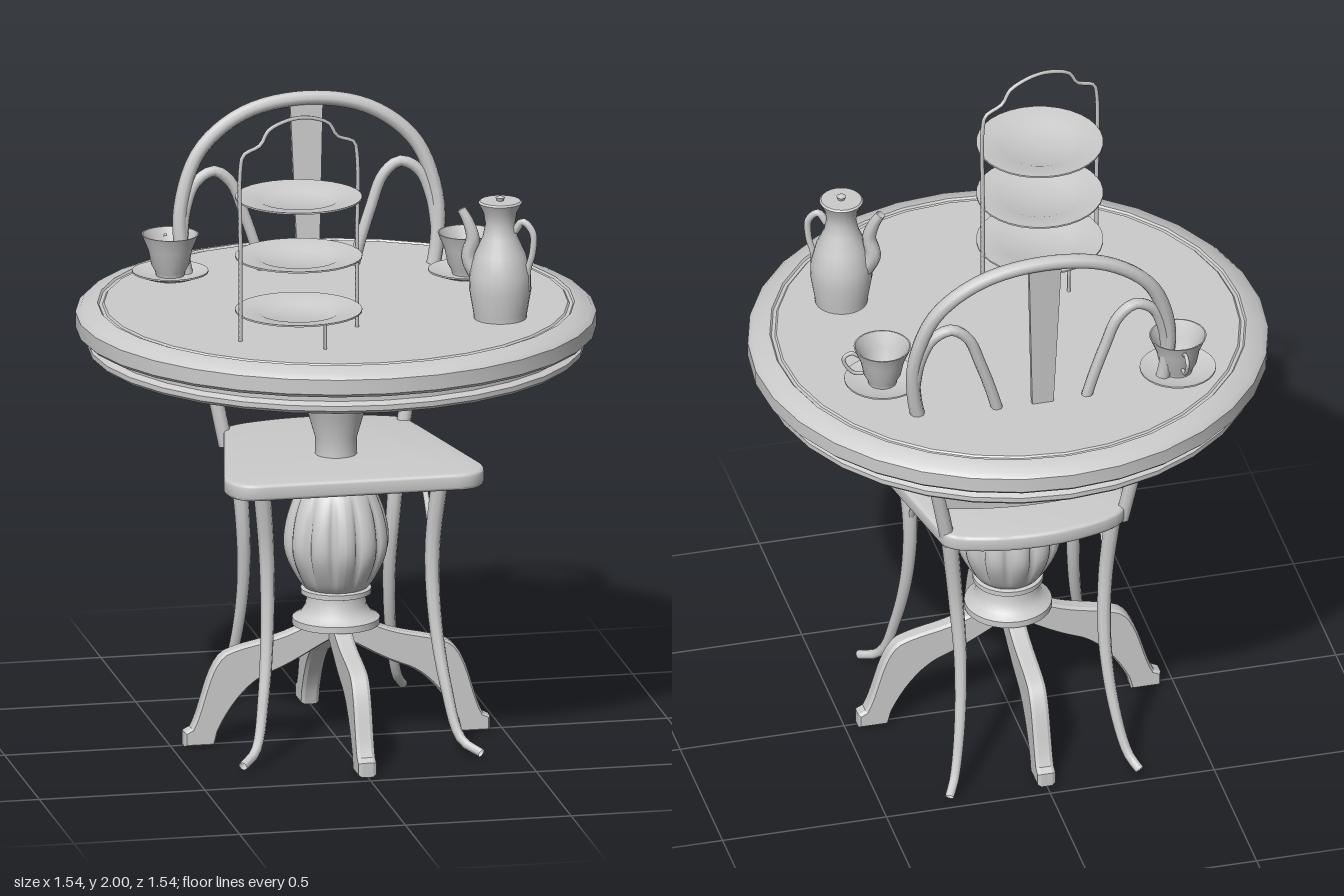
import * as THREE from 'three';
import { toCreasedNormals } from 'three/addons/utils/BufferGeometryUtils.js';

const mat = new THREE.MeshStandardMaterial({ color: 0xcccccc, side: THREE.DoubleSide });
const v2 = (p) => p.map(([x, y]) => new THREE.Vector2(x, y));
const v3 = (p) => p.map((q) => new THREE.Vector3(...q));

function add(parent, name, geo, x = 0, y = 0, z = 0) {
  const mesh = new THREE.Mesh(geo, mat);
  mesh.name = name;
  mesh.position.set(x, y, z);
  parent.add(mesh);
  return mesh;
}

const lathe = (pts, sides = 32) => toCreasedNormals(new THREE.LatheGeometry(v2(pts), sides), 0.6);

// Capped tube whose radius runs from r0 to r1
function tube(points, r0, r1 = r0, n = 32, sides = 8) {
  const curve = new THREE.CatmullRomCurve3(v3(points));
  const geo = new THREE.TubeGeometry(curve, n, r0, sides);
  const pos = geo.attributes.position, p = new THREE.Vector3();
  for (let i = 0; i <= n; i++) {
    const c = curve.getPointAt(i / n), k = 1 + (r1 / r0 - 1) * (i / n);
    for (let j = 0; j <= sides; j++) {
      const id = i * (sides + 1) + j;
      p.fromBufferAttribute(pos, id).sub(c).multiplyScalar(k).add(c);
      pos.setXYZ(id, p.x, p.y, p.z);
    }
  }
  return geo;
}

// Depth of the leaning, bowed chair back at a given x and y
function backZ(x, y) {
  const half = THREE.MathUtils.clamp(0.27 + (y - 0.87) * 0.225, 0.25, 0.41);
  const mid = -0.385 - 0.058 * (y - 1), edge = -0.34 - 0.1 * (y - 1);
  return mid + (edge - mid) * Math.min(1, (x / half) ** 2);
}
const onBack = (pts) => pts.map(([x, y]) => [x, y, backZ(x, y)]);

// Board following the chair back, with its half width set by height
function backBoard(halfWidth, y0, y1, depth) {
  const geo = new THREE.BoxGeometry(2, y1 - y0, depth, 16, 12, 1).translate(0, (y0 + y1) / 2, 0);
  const pos = geo.attributes.position;
  for (let i = 0; i < pos.count; i++) {
    const y = pos.getY(i), x = pos.getX(i) * halfWidth(y);
    pos.setXYZ(i, x, y, pos.getZ(i) + backZ(x, y));
  }
  return toCreasedNormals(geo, 0.6);
}

function makeTable() {
  const g = new THREE.Group();
  g.name = 'table';
  add(g, 'tableTop', lathe([[0, 1.19], [0.725, 1.19], [0.735, 1.2], [0.735, 1.215], [0.715, 1.225], [0.715, 1.245],
    [0.76, 1.25], [0.77, 1.26], [0.77, 1.305], [0.755, 1.32], [0.705, 1.333], [0.7, 1.327], [0.69, 1.327],
    [0.685, 1.332], [0, 1.332]]));
  add(g, 'upperColumn', lathe([[0.1, 0.78], [0.1, 0.8], [0.07, 0.81], [0.062, 0.86], [0.062, 0.92], [0.085, 1.0], [0.115, 1.09],
    [0.115, 1.14], [0.1, 1.155], [0.07, 1.16], [0.07, 1.19]]));
  add(g, 'lowerColumn', lathe([[0, 0.345], [0.13, 0.35], [0.13, 0.37], [0.105, 0.385], [0.09, 0.41], [0.088, 0.44],
    [0.105, 0.445], [0.105, 0.46], [0.09, 0.465]]));

  // Fluted bulb
  const profile = new THREE.SplineCurve(v2([[0.09, 0.46], [0.115, 0.49], [0.15, 0.56], [0.158, 0.62], [0.145, 0.69],
    [0.12, 0.75], [0.095, 0.785]])).getPoints(20);
  const bulb = new THREE.LatheGeometry(profile, 96), pos = bulb.attributes.position;
  for (let i = 0; i < pos.count; i++) {
    const x = pos.getX(i), y = pos.getY(i), z = pos.getZ(i);
    const fade = Math.max(0, Math.sin(Math.PI * (y - 0.46) / 0.325));
    const groove = Math.abs(Math.cos(Math.atan2(z, x) * 6)) ** 0.5;
    const k = 1 - 0.14 * fade * (1 - groove);
    pos.setXYZ(i, x * k, y, z * k);
  }
  bulb.computeVertexNormals();
  add(g, 'flutedBulb', bulb);

  // Four curved feet
  const s = new THREE.Shape();
  s.moveTo(0, 0.35);
  s.lineTo(0.1, 0.347);
  s.bezierCurveTo(0.19, 0.3, 0.27, 0.305, 0.335, 0.275);
  s.bezierCurveTo(0.39, 0.24, 0.4, 0.11, 0.435, 0.05);
  s.lineTo(0.455, 0.04);
  s.lineTo(0.455, 0.006);
  s.lineTo(0.375, 0.006);
  s.lineTo(0.365, 0.045);
  s.bezierCurveTo(0.32, 0.14, 0.26, 0.2, 0.2, 0.22);
  s.bezierCurveTo(0.12, 0.25, 0.07, 0.29, 0, 0.32);
  const foot = toCreasedNormals(new THREE.ExtrudeGeometry(s, { depth: 0.034, bevelSize: 0.006, bevelThickness: 0.01,
    bevelSegments: 1, curveSegments: 10 }).translate(0, 0, -0.017), 0.5);
  for (let i = 0; i < 4; i++) add(g, 'tableFoot', foot).rotation.y = i * Math.PI / 2;
  return g;
}

function makeChair() {
  const g = new THREE.Group();
  g.name = 'chair';

  // Seat, wide at the front with a bowed rear edge
  const s = new THREE.Shape();
  s.moveTo(-0.28, -0.3);
  s.quadraticCurveTo(-0.38, -0.31, -0.38, -0.2);
  s.lineTo(-0.27, 0.33);
  s.quadraticCurveTo(-0.26, 0.36, -0.2, 0.38);
  s.quadraticCurveTo(0, 0.44, 0.2, 0.38);
  s.quadraticCurveTo(0.26, 0.36, 0.27, 0.33);
  s.lineTo(0.38, -0.2);
  s.quadraticCurveTo(0.38, -0.31, 0.28, -0.3);
  const seat = new THREE.ExtrudeGeometry(s, { depth: 0.03, bevelSize: 0.01, bevelThickness: 0.01, bevelSegments: 3 });
  add(g, 'seat', toCreasedNormals(seat.rotateX(-Math.PI / 2), 0.6), 0.01, 0.83, 0);

  // Bentwood back
  const half = [[0.265, 0.82], [0.3, 1.0], [0.342, 1.2], [0.385, 1.4], [0.385, 1.54], [0.325, 1.7], [0.19, 1.805]];
  const arch = [...half.map(([x, y]) => [-x, y]), [0, 1.84], ...half.slice().reverse()];
  add(g, 'backArch', tube(onBack(arch), 0.022, 0.022, 80));
  add(g, 'backSplat', backBoard((y) => 0.028 + 0.022 * Math.max(0, (y - 1.2) / 0.65), 0.96, 1.84, 0.018));
  add(g, 'backRail', backBoard((y) => 0.295 + (y - 1) * 0.2, 0.96, 1.03, 0.02));

  for (const m of [-1, 1]) {
    const flip = (pts) => pts.map(([x, y, z]) => [m * x + 0.01, y, z]);
    const loop = [[0.385, 1.42], [0.37, 1.53], [0.335, 1.61], [0.28, 1.637], [0.23, 1.6], [0.19, 1.5], [0.14, 1.34],
      [0.1, 1.15], [0.08, 0.98]];
    add(g, 'backLoop', tube(onBack(loop.map(([x, y]) => [m * x, y])), 0.017, 0.017, 48));
    add(g, 'frontLeg', tube(flip([[0.27, 0.835, 0.172], [0.25, 0.6, 0.15], [0.253, 0.4, 0.17], [0.275, 0.2, 0.223],
      [0.31, 0.05, 0.28], [0.36, 0.018, 0.33]]), 0.027, 0.014));
    add(g, 'rearLeg', tube(flip([[0.25, 0.835, -0.315], [0.228, 0.6, -0.305], [0.22, 0.4, -0.33], [0.235, 0.2, -0.378],
      [0.265, 0.055, -0.432], [0.29, 0.018, -0.47]]), 0.026, 0.014));
    add(g, 'sideBrace', tube(flip([[0.25, 0.59, 0.15], [0.25, 0.7, 0.09], [0.25, 0.78, 0], [0.245, 0.8, -0.09],
      [0.24, 0.775, -0.2], [0.23, 0.68, -0.295]]), 0.009));
  }
  return g;
}

function makeCakeStand() {
  const g = new THREE.Group();
  g.name = 'cakeStand';
  const plate = lathe([[0, 0], [0.1, 0], [0.12, 0.01], [0.188, 0.019], [0.188, 0.024], [0.12, 0.016], [0.1, 0.007], [0, 0.007]]);
  for (const y of [1.385, 1.55, 1.73]) add(g, 'standPlate', plate, 0, y, 0);
  const half = [[0.19, 1.33, 0], [0.19, 1.6, 0], [0.19, 1.86, 0], [0.18, 1.9, 0], [0.125, 1.925, 0], [0.1, 1.965, 0], [0.05, 1.987, 0]];
  const wire = [...half.map(([x, y, z]) => [-x, y, z]), [0, 1.994, 0], ...half.slice().reverse()];
  add(g, 'standHandle', tube(wire, 0.006, 0.006, 90, 6));
  for (const m of [-1, 1]) add(g, 'standLeg', new THREE.CylinderGeometry(0.005, 0.005, 0.075, 6), 0, 1.368, 0.185 * m);
  g.position.set(-0.18, 0, 0.322);
  g.rotation.y = 0.23;
  return g;
}

function makePot() {
  const g = new THREE.Group();
  g.name = 'coffeePot';
  add(g, 'potBody', lathe([[0, 1.332], [0.078, 1.332], [0.08, 1.35], [0.092, 1.42], [0.09, 1.47], [0.075, 1.53], [0.052, 1.58],
    [0.044, 1.62], [0.05, 1.655], [0.065, 1.685], [0.06, 1.69], [0.01, 1.69], [0.014, 1.7], [0, 1.706]], 24));
  // Spout and handle on opposite sides
  add(g, 'potSpout', tube([[-0.07, 1.46, 0], [-0.095, 1.51, 0], [-0.085, 1.57, 0], [-0.1, 1.62, 0], [-0.12, 1.655, 0]], 0.03, 0.014));
  add(g, 'potHandle', tube([[0.045, 1.6, 0], [0.07, 1.63, 0], [0.1, 1.6, 0], [0.1, 1.54, 0], [0.085, 1.48, 0], [0.085, 1.42, 0]], 0.012, 0.009));
  g.position.set(0.44, 0, 0.265);
  g.rotation.y = -0.5;
  return g;
}

function makeCup(x, z, turn) {
  const g = new THREE.Group();
  g.name = 'cupAndSaucer';
  add(g, 'saucer', lathe([[0, 1.332], [0.06, 1.332], [0.113, 1.352], [0.113, 1.357], [0.06, 1.342], [0, 1.342]], 28));
  add(g, 'cup', lathe([[0, 1.342], [0.042, 1.342], [0.045, 1.355], [0.056, 1.375], [0.065, 1.42], [0.085, 1.468], [0.081, 1.468],
    [0.06, 1.42], [0.05, 1.38], [0.038, 1.36], [0, 1.358]], 28));
  add(g, 'cupHandle', tube([[0.068, 1.44, 0], [0.095, 1.455, 0], [0.117, 1.44, 0], [0.108, 1.41, 0], [0.085, 1.385, 0], [0.058, 1.38, 0]], 0.006, 0.006, 24, 6));
  g.position.set(x, 0, z);
  g.rotation.y = turn;
  return g;
}

export function createModel() {
  const model = new THREE.Group();
  model.name = 'cafeTableSet';
  model.add(makeTable(), makeChair(), makeCakeStand(), makePot());
  model.add(makeCup(-0.425, -0.36, Math.PI / 2), makeCup(0.435, -0.2, -0.05));
  return model;
}
